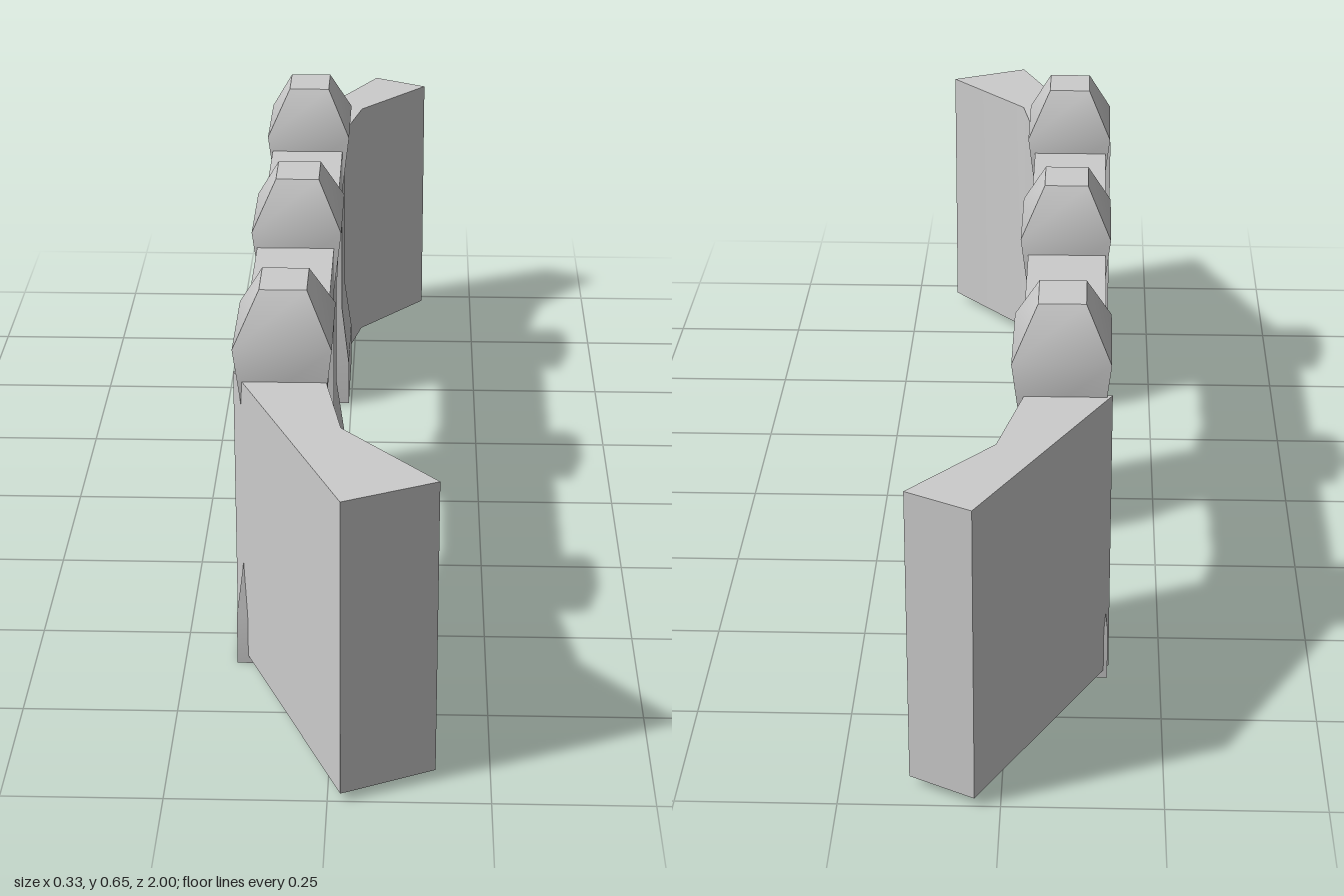
import * as THREE from 'three';
import { toCreasedNormals } from 'three/addons/utils/BufferGeometryUtils.js';

const material = new THREE.MeshStandardMaterial({ color: 0xcccccc });

// Smooth along gentle bends, sharp at real corners
function makeMesh(geometry, name) {
  const mesh = new THREE.Mesh(toCreasedNormals(geometry, THREE.MathUtils.degToRad(48)), material);
  mesh.name = name;
  return mesh;
}

const polygon = (points) => new THREE.Shape(points.map(([x, y]) => new THREE.Vector2(x, y)));

// Square pillar: [height, half width in x, half width in z] from foot to cap
const PILLAR = [
  [0, 0.079, 0.099],
  [0.09, 0.079, 0.099],
  [0.2, 0.065, 0.081],
  [0.45, 0.065, 0.081],
  [0.57, 0.079, 0.099],
  [0.652, 0.038, 0.047],
];

function pillar(z, name) {
  const steps = PILLAR.length - 1;
  const geometry = new THREE.BoxGeometry(2, 1, 2, 1, steps, 1);
  const pos = geometry.attributes.position;
  for (let i = 0; i < pos.count; i++) {
    const [y, hx, hz] = PILLAR[Math.round((pos.getY(i) + 0.5) * steps)];
    pos.setXYZ(i, pos.getX(i) * hx, y, pos.getZ(i) * hz);
  }
  const mesh = makeMesh(geometry, name);
  mesh.position.set(-0.084, 0, z);
  return mesh;
}

// Lintel with a shallow arched underside, running from z0 to z1
function lintel(z0, z1, name) {
  const shape = polygon([
    [z0, 0.41], [z0 + 0.083, 0.437], [z1 - 0.083, 0.437], [z1, 0.41],
    [z1, 0.54], [z0, 0.54],
  ]);
  const geometry = new THREE.ExtrudeGeometry(shape, { depth: 0.136, bevelEnabled: false });
  geometry.rotateY(-Math.PI / 2).translate(-0.018, 0, 0);
  return makeMesh(geometry, name);
}

// Bent wing wall from a plan outline of [x, z] points
function wingWall(plan, name) {
  const shape = polygon(plan.map(([x, z]) => [x, -z]));
  const geometry = new THREE.ExtrudeGeometry(shape, { depth: 0.497, bevelEnabled: false });
  geometry.rotateX(-Math.PI / 2).translate(0, 0.014, 0);
  return makeMesh(geometry, name);
}

export function createModel() {
  const model = new THREE.Group();
  model.name = 'archedGateway';

  model.add(
    pillar(0.498, 'frontPillar'),
    pillar(-0.014, 'middlePillar'),
    pillar(-0.529, 'backPillar'),
    lintel(0.073, 0.414, 'frontLintel'),
    lintel(-0.447, -0.104, 'backLintel'),
    wingWall([
      [-0.165, 0.548], [0.02, 1], [0.165, 0.931], [0.014, 0.753], [-0.016, 0.576],
    ], 'frontWingWall'),
    wingWall([
      [-0.165, -0.612], [0.04, -1], [0.143, -0.943], [0.013, -0.787], [-0.026, -0.612],
    ], 'backWingWall'),
  );
  return model;
}
